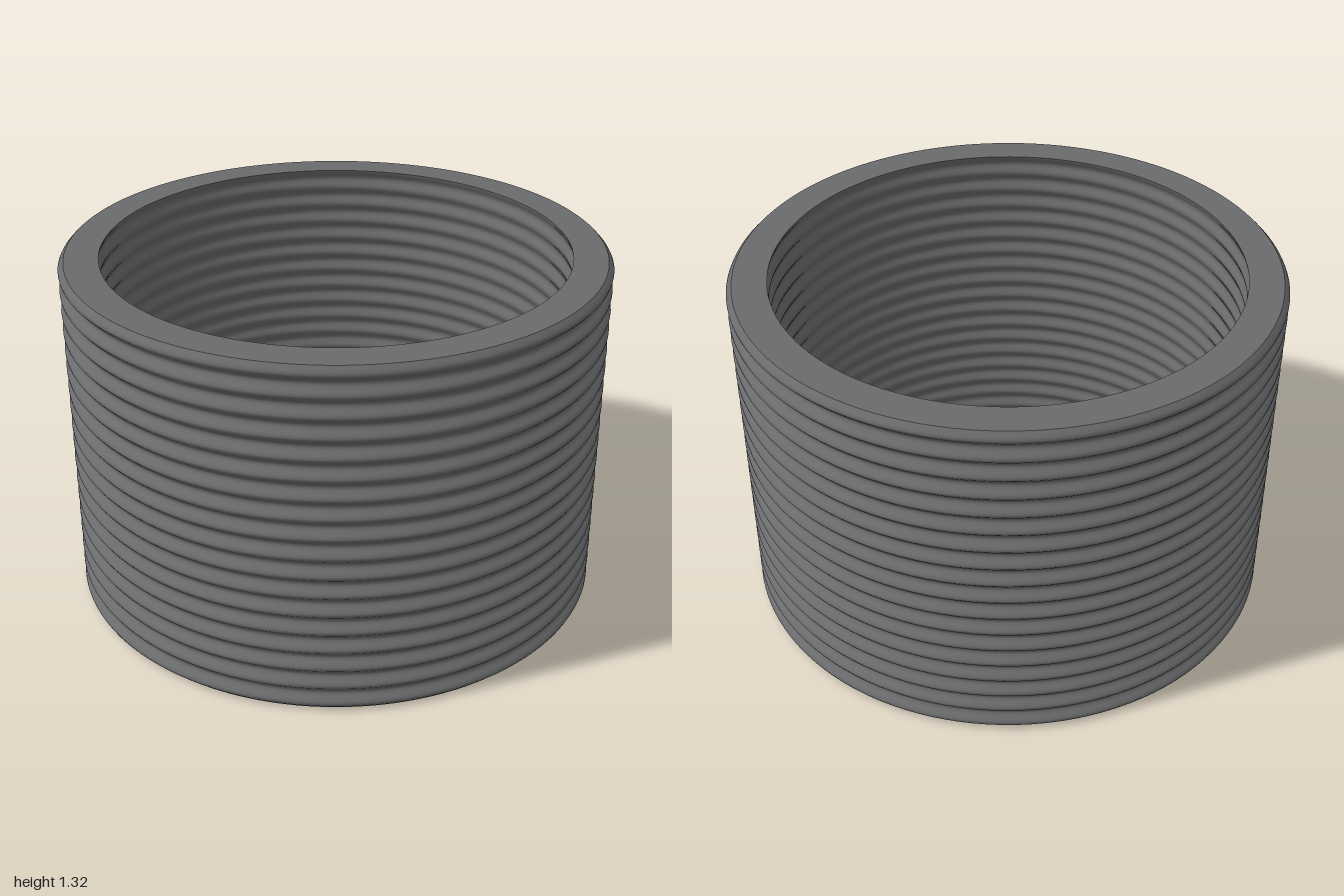
import * as THREE from 'three';

const HEIGHT = 1.316;
const STEPS = 160;
const SEGMENTS = 120;

// Wavy wall profile running from the base to the top
function wavyProfile(mean, amplitude, pitch, crestY) {
  const points = [];
  for (let i = 0; i <= STEPS; i++) {
    const y = (HEIGHT * i) / STEPS;
    const r = mean + amplitude * Math.cos((2 * Math.PI * (y - crestY)) / pitch);
    points.push(new THREE.Vector2(r, y));
  }
  return points;
}

export function createModel() {
  const group = new THREE.Group();
  group.name = 'ribbedRing';
  const material = new THREE.MeshStandardMaterial({ color: 0x6a6b6d });

  const addLathe = (name, points) => {
    const mesh = new THREE.Mesh(new THREE.LatheGeometry(points, SEGMENTS), material);
    mesh.name = name;
    group.add(mesh);
  };

  // Outer ribs bulge outward, inner ribs bulge toward the axis
  const outer = wavyProfile(0.9875, 0.0125, 0.0743, 0.026);
  const inner = wavyProfile(0.862, -0.007, HEIGHT / 18, 0).reverse();
  const outerBase = outer[0], outerTop = outer[STEPS];
  const innerTop = inner[0], innerBase = inner[STEPS];

  // Separate surfaces keep the rim edges sharp
  addLathe('outerWall', outer);
  addLathe('topRim', [outerTop, innerTop]);
  addLathe('innerWall', inner);
  addLathe('bottomRim', [innerBase, outerBase]);

  return group;
}
